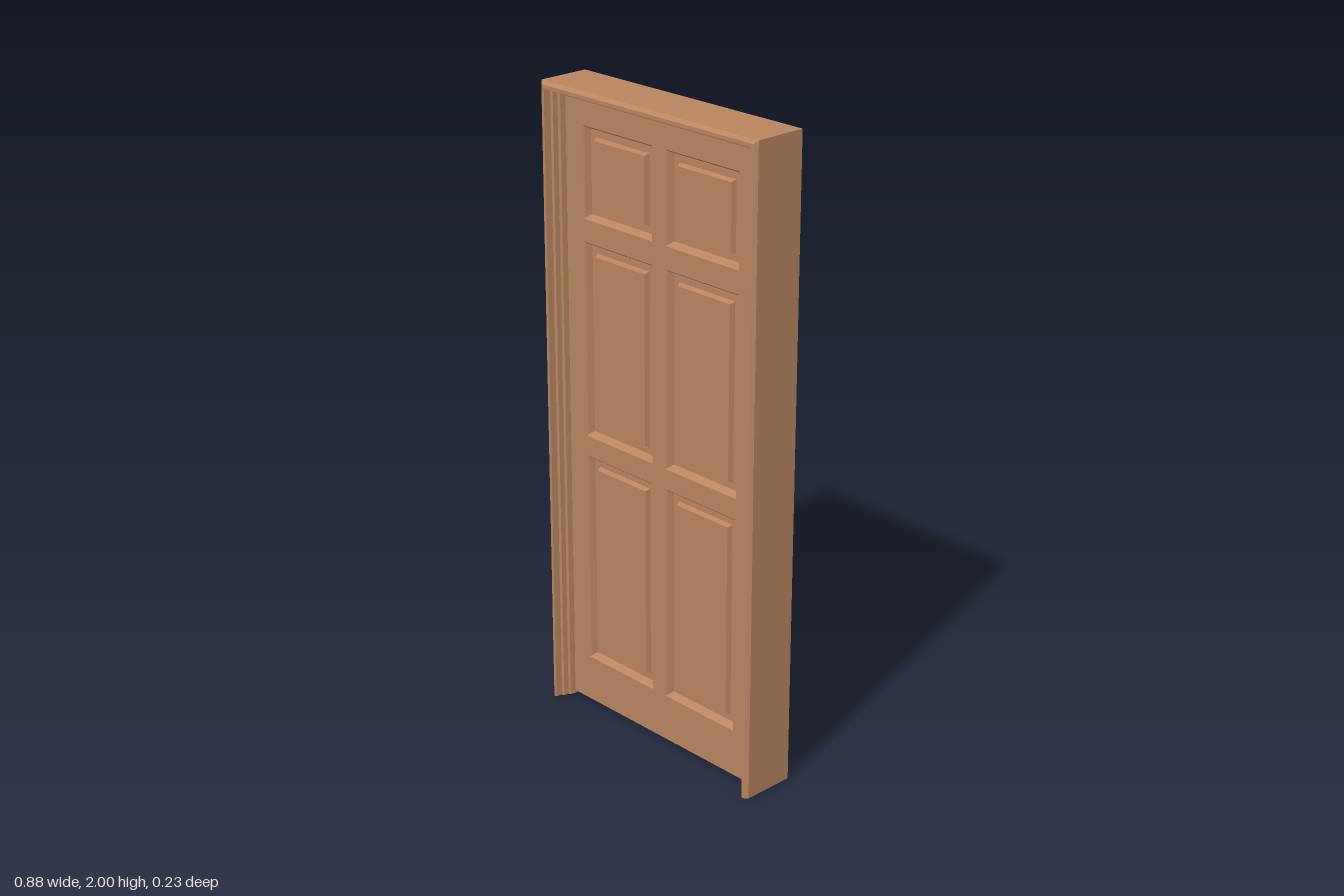
import * as THREE from 'three';

const W = 0.435, H = 2;          // frame half width and height
const DOOR_W = 0.392, T = 0.033; // door half width and half thickness
const wood = new THREE.MeshStandardMaterial({ color: 0xb88560 });

function mesh(name, geometry, x = 0, y = 0, z = 0) {
  const m = new THREE.Mesh(geometry, wood);
  m.name = name;
  m.position.set(x, y, z);
  return m;
}

// Flat-faced surface from a list of four-cornered faces
function quads(list) {
  const p = [];
  for (const [a, b, c, d] of list) p.push(...a, ...b, ...c, ...a, ...c, ...d);
  const g = new THREE.BufferGeometry();
  g.setAttribute('position', new THREE.Float32BufferAttribute(p, 3));
  g.computeVertexNormals();
  return g;
}

// Moulded frame: a stepped section swept up, across and down with mitred corners
function makeFrame() {
  const half = [[0, 0.083], [0.01, 0.093], [0.02, 0.093], [0.023, 0.072],
    [0.032, 0.07], [0.034, 0.054], [0.041, 0.05], [0.044, 0.034]];
  const section = [...half, ...half.map(([a, z]) => [a, -z]).reverse()];
  const at = ([a, z], k) => [
    [a - W, 0, z], [a - W, H - a, z], [W - a, H - a, z], [W - a, 0, z]][k];
  const faces = [];
  section.forEach((s, j) => {
    const n = section[(j + 1) % section.length];
    for (let k = 0; k < 3; k++) faces.push([at(s, k), at(n, k), at(n, k + 1), at(s, k + 1)]);
  });
  const group = new THREE.Group();
  group.name = 'frame';
  group.add(mesh('frameMoulding', quads(faces)));

  // Closed feet of both jambs
  const shape = new THREE.Shape(section.map(([a, z]) => new THREE.Vector2(a - W, z)));
  for (const turn of [0, Math.PI]) {
    group.add(mesh('jambFoot', new THREE.ShapeGeometry(shape).rotateX(Math.PI / 2).rotateY(turn)));
  }
  return group;
}

// Sunken panel with a raised centre field, facing +z
function panelGeometry(w, h) {
  const steps = [[0, T], [0.004, T - 0.004], [0.012, T - 0.022], [0.034, T - 0.022], [0.04, T - 0.007]];
  const ring = ([a, z]) => {
    const x = w / 2 - a, y = h / 2 - a;
    return [[-x, -y, z], [x, -y, z], [x, y, z], [-x, y, z]];
  };
  const rings = steps.map(ring);
  const faces = [rings[rings.length - 1]];
  for (let i = 0; i < rings.length - 1; i++) {
    for (let k = 0; k < 4; k++) {
      const n = (k + 1) % 4;
      faces.push([rings[i][k], rings[i][n], rings[i + 1][n], rings[i + 1][k]]);
    }
  }
  return quads(faces);
}

function rectPath(path, x0, y0, x1, y1) {
  path.moveTo(x0, y0);
  path.lineTo(x1, y0);
  path.lineTo(x1, y1);
  path.lineTo(x0, y1);
  path.closePath();
  return path;
}

// Six-panel door leaf
function makeDoor() {
  const group = new THREE.Group();
  group.name = 'door';
  const slab = rectPath(new THREE.Shape(), -DOOR_W, 0.01, DOOR_W, 1.957);
  const pw = 0.29;
  for (const [y0, y1] of [[0.16, 0.85], [0.915, 1.53], [1.6, 1.88]]) {
    for (const side of [-1, 1]) {
      const x = side * 0.173;
      slab.holes.push(rectPath(new THREE.Path(), x - pw / 2, y0, x + pw / 2, y1));
      for (const turn of [0, Math.PI]) {
        const panel = mesh('panel', panelGeometry(pw, y1 - y0), x, (y0 + y1) / 2);
        panel.rotation.y = turn;
        group.add(panel);
      }
    }
  }
  const leaf = new THREE.ExtrudeGeometry(slab, { depth: 2 * T, bevelEnabled: false });
  group.add(mesh('doorLeaf', leaf, 0, 0, -T));
  return group;
}

// Hinge leaf and knuckle on the back
function makeHinge(y) {
  const group = new THREE.Group();
  group.name = 'hinge';
  group.add(mesh('hingeLeaf', new THREE.BoxGeometry(0.022, 0.1, 0.006), 0.378, y, -T - 0.002));
  group.add(mesh('hingeKnuckle', new THREE.CylinderGeometry(0.007, 0.007, 0.11, 12), 0.389, y, -T - 0.007));
  return group;
}

// Lever handle with round plate and key plate on the back
function makeHandle() {
  const group = new THREE.Group();
  group.name = 'handle';
  group.position.set(-0.352, 0, -T);
  const disc = (name, r, depth, y, z = 0) =>
    mesh(name, new THREE.CylinderGeometry(r, r, depth, 20).rotateX(Math.PI / 2), 0, y, z - depth / 2);
  group.add(disc('handlePlate', 0.02, 0.008, 0.91));
  group.add(disc('handleStem', 0.008, 0.036, 0.91));
  group.add(disc('keyPlate', 0.012, 0.006, 0.845));
  group.add(mesh('keySlot', new THREE.BoxGeometry(0.004, 0.012, 0.004), 0, 0.845, -0.007));
  const curve = new THREE.CatmullRomCurve3([
    new THREE.Vector3(-0.006, 0.91, -0.036), new THREE.Vector3(0.02, 0.912, -0.038),
    new THREE.Vector3(0.06, 0.91, -0.036), new THREE.Vector3(0.095, 0.908, -0.032)]);
  group.add(mesh('lever', new THREE.TubeGeometry(curve, 16, 0.008, 10)));
  for (const t of [0, 1]) {
    const p = curve.getPoint(t);
    group.add(mesh('leverEnd', new THREE.SphereGeometry(0.008, 10, 8), p.x, p.y, p.z));
  }
  return group;
}

export function createModel() {
  const model = new THREE.Group();
  model.name = 'panelDoor';
  model.add(makeFrame(), makeDoor(), makeHandle());
  for (const y of [0.16, 0.83, 1.81]) model.add(makeHinge(y));
  // The whole door stands slightly turned
  model.rotation.y = 0.057;
  const root = new THREE.Group();
  root.name = 'doorway';
  root.add(model);
  return root;
}
